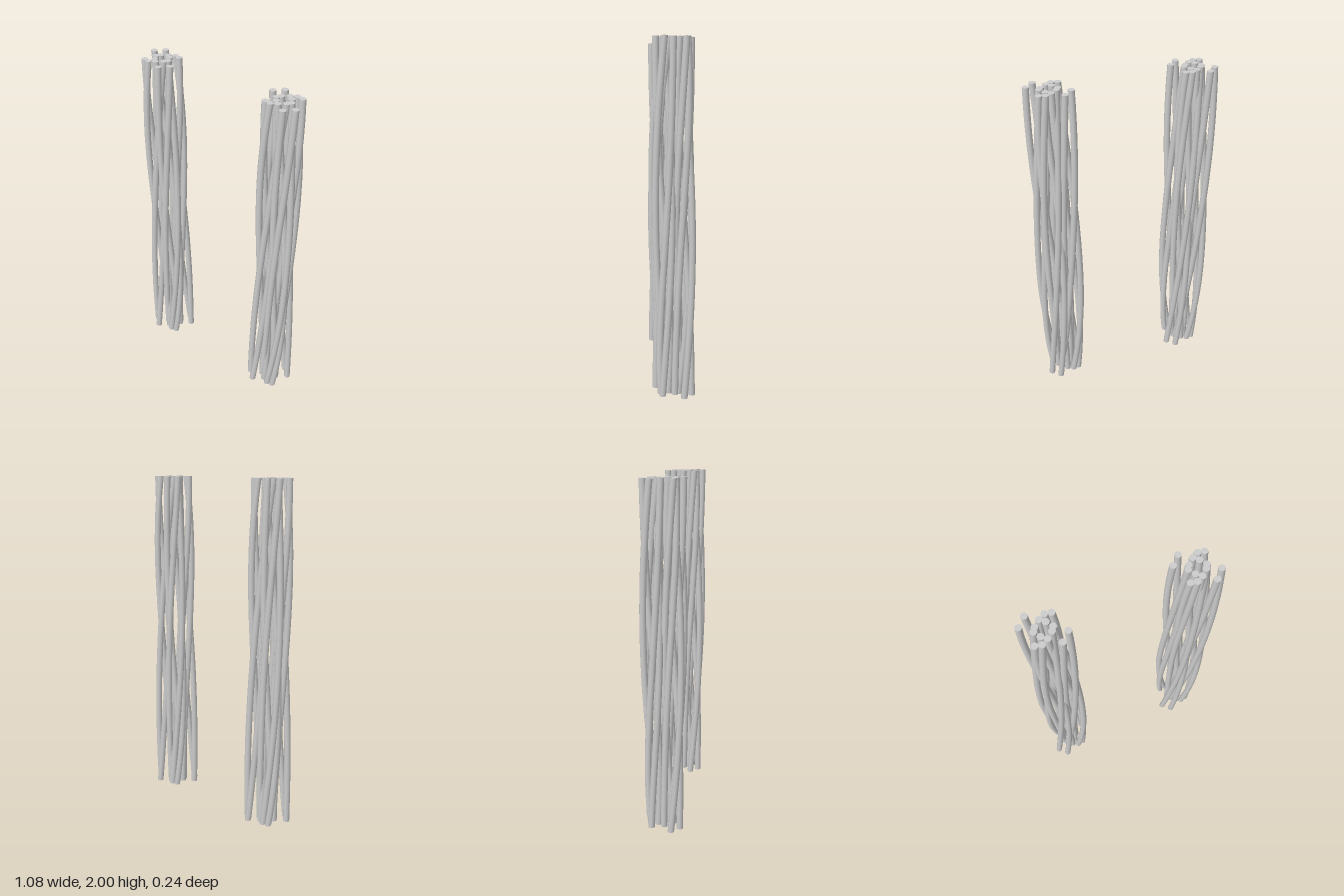
import * as THREE from 'three';

const STRAND_RADIUS = 0.019;
const lerp = THREE.MathUtils.lerp;

// Strand ends inside one cord, as [x, z] from the middle of the bundle
const WIDE_END = { c: [-0.055, -0.055], pts: [[-0.107, -0.055], [-0.06, -0.1], [0, -0.055], [-0.049, -0.005]] };
const TIGHT_END = { c: [-0.024, -0.049], pts: [[0.035, -0.026], [-0.026, -0.031], [-0.07, -0.065], [-0.035, -0.073]] };

const polar = ([x, z], [cx, cz]) => ({ r: Math.hypot(x - cx, z - cz), a: Math.atan2(z - cz, x - cx) });

// A round rod whose rings follow half a turn around the cord's middle
function strandGeometry(i, midX) {
  const top = polar(WIDE_END.pts[i], WIDE_END.c);
  const bottom = polar(TIGHT_END.pts[i], TIGHT_END.c);
  let turn = bottom.a - top.a;
  while (turn < Math.PI / 2) turn += Math.PI * 2;
  while (turn > Math.PI * 2) turn -= Math.PI * 2;

  const geometry = new THREE.CylinderGeometry(STRAND_RADIUS, STRAND_RADIUS, 2, 12, 20);
  const p = geometry.attributes.position;
  for (let k = 0; k < p.count; k++) {
    const t = (1 - p.getY(k)) / 2; // 0 at the wide end, 1 at the tight end
    const bulge = 1 - Math.pow(Math.abs(2 * t - 1), 2.5);
    const r = lerp(lerp(top.r, bottom.r, t), 0.046, bulge);
    const cx = lerp(lerp(WIDE_END.c[0], TIGHT_END.c[0], t), midX, bulge);
    const cz = lerp(lerp(WIDE_END.c[1], TIGHT_END.c[1], t), -0.057, bulge);
    const a = top.a + turn * t;
    p.setX(k, p.getX(k) + cx + r * Math.cos(a));
    p.setZ(k, p.getZ(k) + cz + r * Math.sin(a));
  }
  return geometry;
}

export function createModel() {
  const model = new THREE.Group();
  model.name = 'twistedBundles';
  const material = new THREE.MeshStandardMaterial({ color: 0xcccccc });

  // Four cords per bundle: each a half-turned copy of the same twist
  const cords = [
    { name: 'backRightCord', rotation: [0, 0, 0], midX: -0.068 },
    { name: 'frontLeftCord', rotation: [0, Math.PI, 0], midX: -0.068 },
    { name: 'frontRightCord', rotation: [Math.PI, 0, 0], midX: -0.038 },
    { name: 'backLeftCord', rotation: [0, 0, Math.PI], midX: -0.038 },
  ];

  for (const side of [-1, 1]) {
    const bundle = new THREE.Group();
    bundle.name = side < 0 ? 'rightBundle' : 'leftBundle';
    bundle.position.set(side * 0.41, 1, 0);
    for (const { name, rotation, midX } of cords) {
      const cord = new THREE.Group();
      cord.name = name;
      cord.rotation.set(...rotation);
      for (let i = 0; i < 4; i++) {
        const strand = new THREE.Mesh(strandGeometry(i, midX), material);
        strand.name = 'strand';
        cord.add(strand);
      }
      bundle.add(cord);
    }
    model.add(bundle);
  }
  return model;
}
